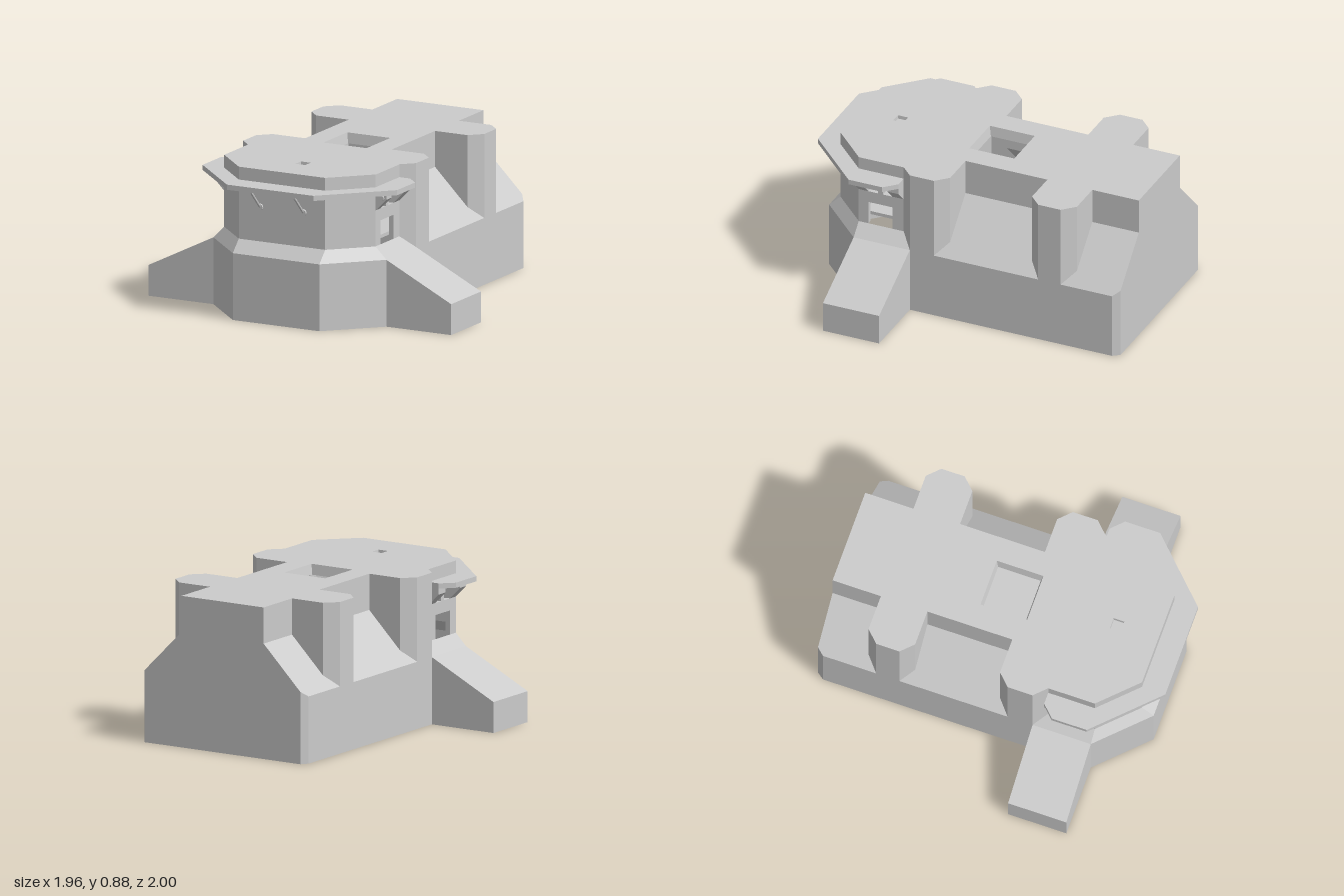
import * as THREE from 'three';

const material = new THREE.MeshStandardMaterial({ color: 0xcccccc, side: THREE.DoubleSide, flatShading: true });

function add(parent, name, geometry) {
  const mesh = new THREE.Mesh(geometry, material);
  mesh.name = name;
  parent.add(mesh);
  return mesh;
}

// Sheet between two polylines of [x, y, z] points
function strip(lower, upper) {
  const pos = [];
  for (let i = 0; i < lower.length - 1; i++) {
    const [a, b, c, d] = [lower[i], lower[i + 1], upper[i + 1], upper[i]];
    pos.push(...a, ...b, ...c, ...a, ...c, ...d);
  }
  const g = new THREE.BufferGeometry();
  g.setAttribute('position', new THREE.Float32BufferAttribute(pos, 3));
  g.computeVertexNormals();
  return g;
}

const at = (plan, y) => plan.map(([x, z], i) => [x, Array.isArray(y) ? y[i] : y, z]);
const mirror = (plan) => plan.concat(plan.map(([x, z]) => [-x, z]).reverse());
const shapeOf = (pts) => new THREE.Shape(pts.map(([x, y]) => new THREE.Vector2(x, y)));
const planShape = (plan) => shapeOf(plan.map(([x, z]) => [x, -z]));
const rect = (x0, y0, x1, y1) => [[x0, y0], [x1, y0], [x1, y1], [x0, y1]];
const extrude = (shape, depth) => new THREE.ExtrudeGeometry(shape, { depth, bevelEnabled: false });

const ROOF = 0.88, BASE = 0.39, SILL = 0.46, EAVE = 0.67;

// Half outline of the upper storey, front to back
const upperPlan = [
  [0.28, 0.86], [0.49, 0.65], [0.49, 0.37], [0.56, 0.30], [0.56, 0.15], [0.49, 0.08], [0.28, 0.08],
  [0.28, -0.43], [0.49, -0.43], [0.56, -0.50], [0.56, -0.64], [0.49, -0.71], [0.28, -0.71], [0.28, -1],
];

function buildSide() {
  const side = new THREE.Group();

  // Lower walls
  add(side, 'frontBaseWall', strip(
    at([[0, 0.93], [0.28, 0.93], [0.56, 0.65]], 0), at([[0, 0.93], [0.28, 0.93], [0.56, 0.65]], BASE)));
  const sidePlan = [[0.56, 0.30], [0.56, -0.96], [0.53, -1]];
  add(side, 'sideBaseWall', strip(at(sidePlan, 0), at(sidePlan, [BASE, BASE, 0.42])));
  add(side, 'backWallOuter', strip(at([[0.53, -1], [0.28, -1]], 0), at([[0.53, -1], [0.28, -1]], [0.42, EAVE])));
  add(side, 'backWallInner', strip(at([[0.28, -1], [0, -1]], 0), at([[0.28, -1], [0, -1]], ROOF)));

  // Sloping wing wall, open underneath
  const wing = [[0.56, 0.65], [0.98, 0.65], [0.98, 0.30], [0.56, 0.30]];
  add(side, 'wingWalls', strip(at(wing, 0), at(wing, [BASE, 0.18, 0.18, BASE])));
  add(side, 'wingTop', strip(at([wing[1], wing[2]], 0.18), at([wing[0], wing[3]], BASE)));

  // Upper walls end on the slopes below them
  const foot = upperPlan.map(([x, z]) => (z > 0.36 ? SILL : BASE + 0.56 - x));
  const front = [[0, 0.86], ...upperPlan.slice(0, 2)];
  add(side, 'frontUpperWall', strip(at(front, SILL), at(front, ROOF)));
  add(side, 'buttressWalls', strip(at(upperPlan.slice(2), foot.slice(2)), at(upperPlan.slice(2), ROOF)));

  // Slopes over the lower walls
  add(side, 'frontSlope', strip(
    at([[0, 0.93], [0.28, 0.93], [0.56, 0.65], [0.56, 0.30]], BASE),
    at([[0, 0.86], [0.28, 0.86], [0.49, 0.65], [0.49, 0.37]], SILL)));
  const bays = [
    [[[0.56, 0.15], [0.56, -0.50]], [[0.49, 0.08], [0.49, -0.43]], [[0.28, 0.08], [0.28, -0.43]]],
    [[[0.56, -0.64], [0.56, -0.96]], [[0.49, -0.71], [0.53, -1]], [[0.28, -0.71], [0.28, -1]]],
  ];
  for (const rows of bays) {
    const pts = rows.map((row) => row.map(([x, z]) => [x, BASE + 0.56 - x, z]));
    add(side, 'bayLowerSlope', strip(pts[0], pts[1]));
    add(side, 'bayUpperSlope', strip(pts[1], pts[2]));
  }

  // Side wall with a lower opening and two slots above
  const wall = shapeOf([
    [-0.65, SILL], [-0.59, SILL], [-0.59, 0.60], [-0.44, 0.60], [-0.44, SILL], [-0.37, SILL],
    [-0.37, ROOF - 0.001], [-0.65, ROOF - 0.001],
  ]);
  for (const [a, b] of [[-0.59, -0.53], [-0.50, -0.44]]) {
    wall.holes.push(new THREE.Path(shapeOf(rect(a, EAVE, b, 0.775)).getPoints()));
  }
  add(side, 'windowWall', extrude(wall, 0.03).rotateY(Math.PI / 2).translate(0.46, 0, 0));

  // Wedge brackets under the side ledge, with a pin at the front
  const wedge = shapeOf([[0.49, 0.67], [0.56, 0.74], [0.56, 0.776], [0.49, 0.776]]);
  for (const [z0, z1] of [[0.37, 0.44], [0.59, 0.65]]) {
    add(side, 'ledgeBracket', extrude(wedge, z1 - z0).translate(0, 0, z0));
  }
  add(side, 'bracketPin', new THREE.CylinderGeometry(0.017, 0.017, 0.02, 12).rotateX(Math.PI / 2).translate(0.53, 0.747, 0.65));

  // Thin diagonal strut under the front ledge
  const top = new THREE.Vector3(0.14, 0.775, 0.975), end = new THREE.Vector3(0.14, 0.66, 0.862);
  add(side, 'strut', new THREE.TubeGeometry(new THREE.LineCurve3(top, end), 1, 0.007, 8));
  add(side, 'strutFoot', new THREE.CylinderGeometry(0.019, 0.019, 0.012, 12).rotateX(Math.PI / 2).translate(0.14, 0.662, 0.865));
  add(side, 'strutHead', new THREE.BoxGeometry(0.03, 0.008, 0.03).translate(0.14, 0.771, 0.972));
  return side;
}

export function createModel() {
  const model = new THREE.Group();
  model.name = 'bunker';

  const left = buildSide();
  left.name = 'leftSide';
  const right = buildSide();
  right.name = 'rightSide';
  right.scale.x = -1;
  model.add(left, right);

  // Flat roof with a hatch and a small front recess
  const roof = planShape(mirror(upperPlan));
  const openings = [
    { name: 'hatch', w: 0.14, wIn: 0.128, z0: -0.16, z1: 0.12, depth: 0.06 },
    { name: 'roofRecess', w: 0.032, wIn: 0.03, z0: 0.58, z1: 0.644, depth: 0.02 },
  ];
  for (const { name, w, wIn, z0, z1, depth } of openings) {
    roof.holes.push(new THREE.Path(planShape(rect(-w, z0, w, z1)).getPoints()));
    const t = w - wIn;
    const outer = rect(-w, z0, w, z1), inner = rect(-wIn, z0 + t, wIn, z1 - t);
    add(model, name + 'Lining', strip(at([...inner, inner[0]], ROOF - depth), at([...outer, outer[0]], ROOF)));
  }
  add(model, 'roof', new THREE.ShapeGeometry(roof).rotateX(-Math.PI / 2).translate(0, ROOF, 0));
  add(model, 'recessFloor', new THREE.PlaneGeometry(0.06, 0.06).rotateX(-Math.PI / 2).translate(0, ROOF - 0.02, 0.612));

  // Ledge wrapping the front
  const ledge = planShape([
    ...mirror([[0.49, 0.37], [0.56, 0.37], [0.63, 0.44], [0.63, 0.65], [0.28, 1]].map((p) => p)),
    [-0.49, 0.65], [-0.28, 0.86], [0.28, 0.86], [0.49, 0.65],
  ]);
  add(model, 'ledge', extrude(ledge, 0.03).rotateX(-Math.PI / 2).translate(0, 0.775, 0));

  // Inner floor below the hatch
  add(model, 'innerFloor', new THREE.BoxGeometry(0.56, 0.02, 1.05).translate(0, 0.4, 0.18));
  return model;
}
